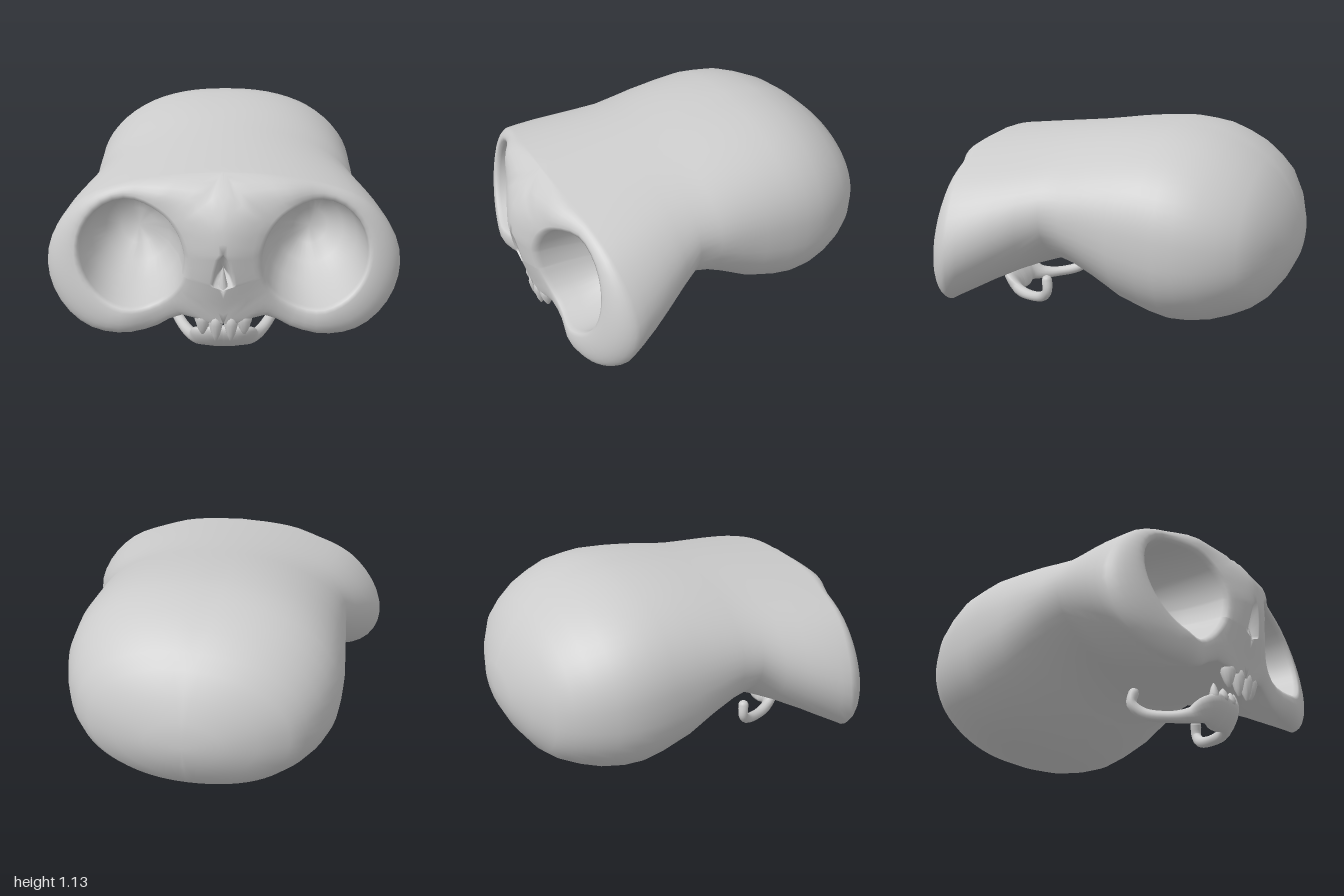
import * as THREE from 'three';
import { mergeVertices } from 'three/addons/utils/BufferGeometryUtils.js';

const V = (x, y, z) => new THREE.Vector3(x, y, z);
const { lerp, smoothstep } = THREE.MathUtils;
const material = new THREE.MeshStandardMaterial({ color: 0xcccccc });
const EYE = { x: 0.455, y: 0.587, rx: 0.265, ry: 0.272 };

// height and depth of the face along its middle line
const RIDGE = [[0.24, 0.91], [0.3, 0.92], [0.4, 0.95], [0.5, 0.98], [0.65, 1.0], [0.75, 0.99], [0.82, 0.968], [0.92, 0.905], [1.0, 0.8]];
function ridgeZ(y) {
  const i = Math.max(1, RIDGE.findIndex((p) => y <= p[0] + 1e-6));
  const [a, b] = [RIDGE[i - 1], RIDGE[i]];
  return lerp(a[1], b[1], THREE.MathUtils.clamp((y - a[0]) / (b[0] - a[0]), 0, 1));
}
// face surface: eye region leaning back at the top and outside, blended into the middle ridge
function faceZ(x, y) {
  const k = smoothstep(x, 0.3, 0.52);
  const eyeZ = 0.885 - k * (0.025 + 0.18 * (y - EYE.y)) - 0.15 * Math.max(0, x - 0.5);
  return lerp(ridgeZ(Math.min(1, y)), eyeZ, smoothstep(x, 0, 0.4));
}

// add the quads of a grid of rows, together with their mirror image
function addGrid(out, rows, closed) {
  for (let r = 0; r + 1 < rows.length; r++) {
    const n = rows[r].length;
    for (let i = 0; i < (closed ? n : n - 1); i++) {
      const j = (i + 1) % n;
      const [a, b, c, d] = [rows[r][i], rows[r][j], rows[r + 1][j], rows[r + 1][i]];
      for (const t of [[a, b, d], [b, c, d]]) {
        for (const p of t) out.push(p.x, p.y, p.z);
        for (const p of [t[0], t[2], t[1]]) out.push(-p.x, p.y, p.z);
      }
    }
  }
}

function smoothGeometry(positions) {
  let g = new THREE.BufferGeometry();
  g.setAttribute('position', new THREE.Float32BufferAttribute(positions, 3));
  g = mergeVertices(g, 1e-4);
  g.computeVertexNormals();
  return g;
}

function skullGeometry() {
  const out = [];
  // edge of the mask, from top middle round the side to the upper jaw
  const outline = new THREE.CatmullRomCurve3([
    V(0, 1.0, 0.8), V(0.2, 0.99, 0.79), V(0.45, 0.945, 0.76), V(0.69, 0.85, 0.73), V(0.84, 0.69, 0.7),
    V(0.9, 0.52, 0.69), V(0.88, 0.37, 0.71), V(0.8, 0.245, 0.75), V(0.67, 0.168, 0.8), V(0.5, 0.155, 0.83),
    V(0.35, 0.195, 0.85), V(0.23, 0.265, 0.865), V(0.17, 0.27, 0.88), V(0.1, 0.245, 0.9), V(0, 0.24, 0.91),
  ]).getSpacedPoints(32);

  // middle line, stepping round the nose opening
  const nose = [[0, 0.445], [0.045, 0.462], [0.052, 0.48], [0.04, 0.55], [0.022, 0.62], [0, 0.65]]
    .map(([x, y]) => V(x, y, faceZ(x, y)));
  const mid = (ys) => ys.map((y) => V(0, y, ridgeZ(y)));
  const edge = [...outline, ...mid([0.29, 0.34, 0.39]), ...nose, ...mid([0.7, 0.76, 0.82, 0.88, 0.94])];

  // eye socket from its back to the rim: scale and depth
  const rows = [[0, 0.43], [0.35, 0.415], [0.65, 0.36], [0.88, 0.24], [0.98, 0.11], [1, 0.03], [1.03, 0.006], [1.1, 0]]
    .map(([s, depth]) => edge.map((b) => {
      const a = Math.atan2(b.y - EYE.y, b.x - EYE.x);
      const x = EYE.x + EYE.rx * Math.cos(a), y = EYE.y + EYE.ry * Math.sin(a);
      const px = lerp(EYE.x, x, s), py = lerp(EYE.y, y, s);
      return V(px, py, (depth > 0.05 ? lerp(faceZ(EYE.x, EYE.y), faceZ(x, y), s) : faceZ(px, py)) - depth);
    }));
  // mask from the rim to its rounded edge
  const rim = rows[rows.length - 1];
  for (const t of [0.15, 0.3, 0.45, 0.6, 0.75, 0.88, 1]) {
    rows.push(edge.map((b, i) => {
      const k = i < outline.length ? Math.sin(t * Math.PI / 2) : t;
      const x = lerp(rim[i].x, b.x, k), y = lerp(rim[i].y, b.y, k);
      const roll = 1 - Math.cos(t * Math.PI / 2);
      return V(x, y, faceZ(x, y) + roll * (b.z - faceZ(b.x, b.y)));
    }));
  }
  addGrid(out, rows, true);

  // nose pocket
  const pocket = [[1, 0], [0.85, 0.04], [0.6, 0.08], [0, 0.1]].map(([s, d]) =>
    nose.map((p) => V(p.x * s, lerp(0.53, p.y, s), p.z - d)));
  addGrid(out, pocket, false);

  // braincase sections: z, half width, top, bottom, roundness (lower is boxier)
  const sections = [
    [0.24, 0.71, 1.075, 0.335, 1], [0.12, 0.717, 1.092, 0.3, 0.97], [0, 0.725, 1.11, 0.24, 0.92],
    [-0.15, 0.735, 1.127, 0.15, 0.88], [-0.3, 0.745, 1.135, 0.1, 0.86], [-0.4, 0.742, 1.127, 0.075, 0.86],
    [-0.5, 0.735, 1.113, 0.077, 0.87], [-0.6, 0.705, 1.08, 0.09, 0.89], [-0.7, 0.66, 1.035, 0.123, 0.91],
    [-0.79, 0.595, 0.97, 0.165, 0.92], [-0.86, 0.52, 0.905, 0.22, 0.93], [-0.93, 0.37, 0.8, 0.315, 0.95],
    [-0.98, 0.2, 0.675, 0.42, 1], [-1, 0, 0.54, 0.54, 1],
  ].map(([z, w, top, bottom, e]) => outline.map((_, i) => {
    const a = i / (outline.length - 1) * Math.PI, c = Math.cos(a);
    const s = i === outline.length - 1 ? 0 : Math.sin(a);
    return V(w * s ** e, (top + bottom) / 2 + (top - bottom) / 2 * Math.sign(c) * Math.abs(c) ** e, z);
  }));
  // cheeks narrowing from the mask to the braincase
  const cheeks = [0, 0.12, 0.3, 0.5, 0.75].map((t) => outline.map((p, i) => {
    const q = p.clone().lerp(sections[0][i], t);
    q.x *= 1 + 0.03 * Math.sin(Math.PI * t) * (1 - t);
    return q;
  }));
  addGrid(out, [...cheeks, ...sections], false);
  return smoothGeometry(out);
}

// lower jaw swept from the tall chin to the thin upturned end: x, y, z, half height, half thickness
function jawGeometry() {
  const table = [
    [0, 0.085, 0.745, 0.095, 0.04], [0.06, 0.085, 0.745, 0.093, 0.04], [0.11, 0.073, 0.725, 0.075, 0.035],
    [0.155, 0.046, 0.67, 0.042, 0.032], [0.21, 0.045, 0.57, 0.03, 0.03], [0.265, 0.075, 0.455, 0.03, 0.028],
    [0.298, 0.13, 0.405, 0.028, 0.026], [0.288, 0.19, 0.41, 0.03, 0.028], [0.282, 0.21, 0.415, 0.022, 0.02],
    [0.28, 0.22, 0.417, 0.001, 0.001],
  ];
  const path = new THREE.CatmullRomCurve3(table.map(([x, y, z]) => V(x, y, z)));
  const size = new THREE.CatmullRomCurve3(table.map(([, , , h, w]) => V(h, w, 0)));
  const rows = [];
  for (let i = 0; i <= 45; i++) {
    const p = path.getPoint(i / 45), s = size.getPoint(i / 45);
    const tangent = i ? path.getTangent(i / 45) : V(1, 0, 0);
    const up = V(0, 0.8, 0.6).projectOnPlane(tangent).normalize();
    const side = tangent.clone().cross(up);
    rows.push(Array.from({ length: 14 }, (_, k) => {
      const a = k / 14 * Math.PI * 2;
      return p.clone().addScaledVector(up, s.x * Math.cos(a)).addScaledVector(side, s.y * Math.sin(a));
    }));
  }
  const out = [];
  addGrid(out, rows, true);
  return smoothGeometry(out);
}

function addMesh(group, name, geometry, x = 0, y = 0, z = 0) {
  const m = new THREE.Mesh(geometry, material);
  m.name = name;
  m.position.set(x, y, z);
  group.add(m);
  return m;
}

// pointed tooth, tip up for the lower jaw and down for the upper
function addTooth(group, name, x, y, z, radius, height, down) {
  const profile = [[0.001, -0.5], [0.8, -0.45], [1, -0.15], [0.6, 0.25], [0.2, 0.47], [0.001, 0.5]]
    .map(([r, h]) => new THREE.Vector2(r * radius, h * height));
  const t = addMesh(group, name, new THREE.LatheGeometry(profile, 12), x, y, z);
  if (down) t.rotation.x = Math.PI;
}

export function createModel() {
  const model = new THREE.Group();
  model.name = 'skull';
  addMesh(model, 'cranium', skullGeometry());

  // bony wall inside the nose
  addMesh(model, 'noseSeptum', new THREE.ConeGeometry(0.028, 0.13, 12), 0, 0.5, 0.935);

  const jaw = new THREE.Group();
  jaw.name = 'lowerJaw';
  model.add(jaw);
  addMesh(jaw, 'jawBone', jawGeometry());
  for (const s of [-1, 1]) {
    addTooth(jaw, 'lowerFang', s * 0.095, 0.165, 0.775, 0.026, 0.1, false);
    addTooth(jaw, 'lowerIncisor', s * 0.035, 0.165, 0.79, 0.03, 0.07, false);
    addTooth(model, 'upperIncisor', s * 0.038, 0.205, 0.885, 0.036, 0.15, true);
    addTooth(model, 'upperFang', s * 0.105, 0.225, 0.87, 0.04, 0.13, true);
  }
  return model;
}
